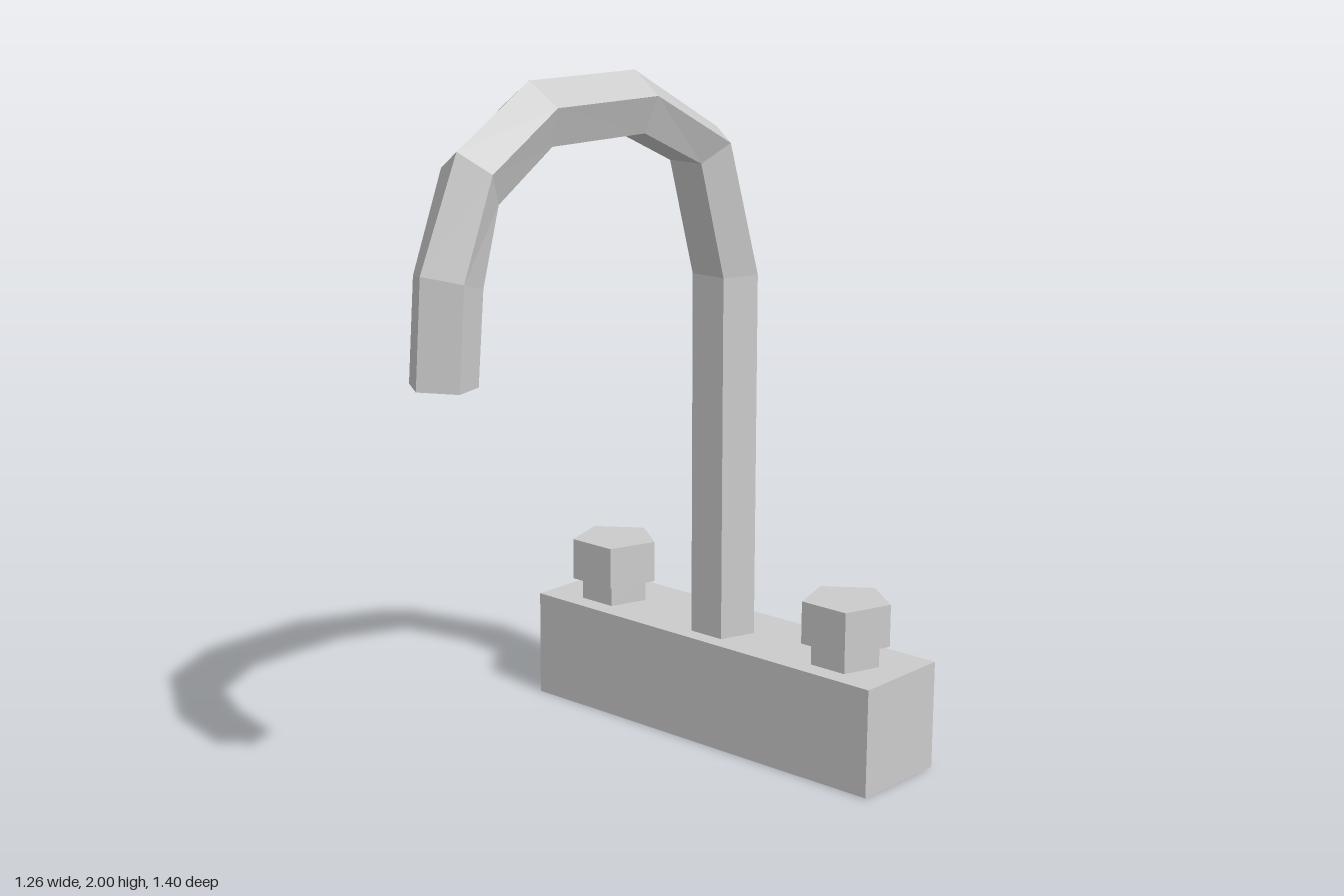
import * as THREE from 'three';

const material = new THREE.MeshStandardMaterial({ color: 0xcccccc, flatShading: true });

function addMesh(parent, name, geometry, x = 0, y = 0, z = 0) {
  const mesh = new THREE.Mesh(geometry, material);
  mesh.name = name;
  mesh.position.set(x, y, z);
  parent.add(mesh);
  return mesh;
}

// Five-sided prism with one corner pointing to the back
function pentagon(radius, height) {
  return new THREE.CylinderGeometry(radius, radius, height, 5).rotateY(Math.PI);
}

// Bent five-sided spout; each station gives its outer ridge and inner flat
function spoutGeometry() {
  const stations = [ // outer z, outer y, inner z, inner y
    [-0.61, 0.32, -0.436, 0.32],
    [-0.602, 1.393, -0.427, 1.393],
    [-0.459, 1.812, -0.326, 1.727],
    [-0.114, 1.997, -0.093, 1.833],
    [0.289, 2.0, 0.263, 1.833],
    [0.549, 1.844, 0.459, 1.706],
    [0.682, 1.546, 0.517, 1.499],
    [0.703, 1.254, 0.538, 1.247],
  ];
  // Pentagon corners: x offset and fraction of the way from outer to inner
  const corners = [[0, 0], [0.093, 0.382], [0.057, 1], [-0.057, 1], [-0.093, 0.382]];
  const n = corners.length;
  const positions = [];
  const index = [];
  for (const [oz, oy, iz, iy] of stations) {
    for (const [x, t] of corners) {
      positions.push(x, oy + (iy - oy) * t, oz + (iz - oz) * t);
    }
  }
  for (let i = 0; i < stations.length - 1; i++) {
    for (let j = 0; j < n; j++) {
      const a = i * n + j;
      const b = i * n + (j + 1) % n;
      index.push(a, a + n, b, b, a + n, b + n);
    }
  }
  // Cap at the outlet
  const end = (stations.length - 1) * n;
  for (let j = 1; j < n - 1; j++) index.push(end, end + j + 1, end + j);

  const geometry = new THREE.BufferGeometry();
  geometry.setAttribute('position', new THREE.Float32BufferAttribute(positions, 3));
  geometry.setIndex(index);
  const flat = geometry.toNonIndexed();
  flat.computeVertexNormals();
  return flat;
}

export function createModel() {
  const model = new THREE.Group();
  model.name = 'faucet';

  addMesh(model, 'base', new THREE.BoxGeometry(1.26, 0.32, 0.315), 0, 0.16, -0.5425);
  addMesh(model, 'spout', spoutGeometry());

  // Mirrored pair of handles, each a knob on a narrower neck
  for (const side of [1, -1]) {
    const handle = new THREE.Group();
    handle.name = side > 0 ? 'leftHandle' : 'rightHandle';
    handle.position.set(side * 0.443, 0, -0.525);
    addMesh(handle, 'neck', pentagon(0.101, 0.065), 0, 0.3525, 0);
    addMesh(handle, 'knob', pentagon(0.131, 0.125), 0, 0.4475, 0);
    model.add(handle);
  }
  return model;
}
